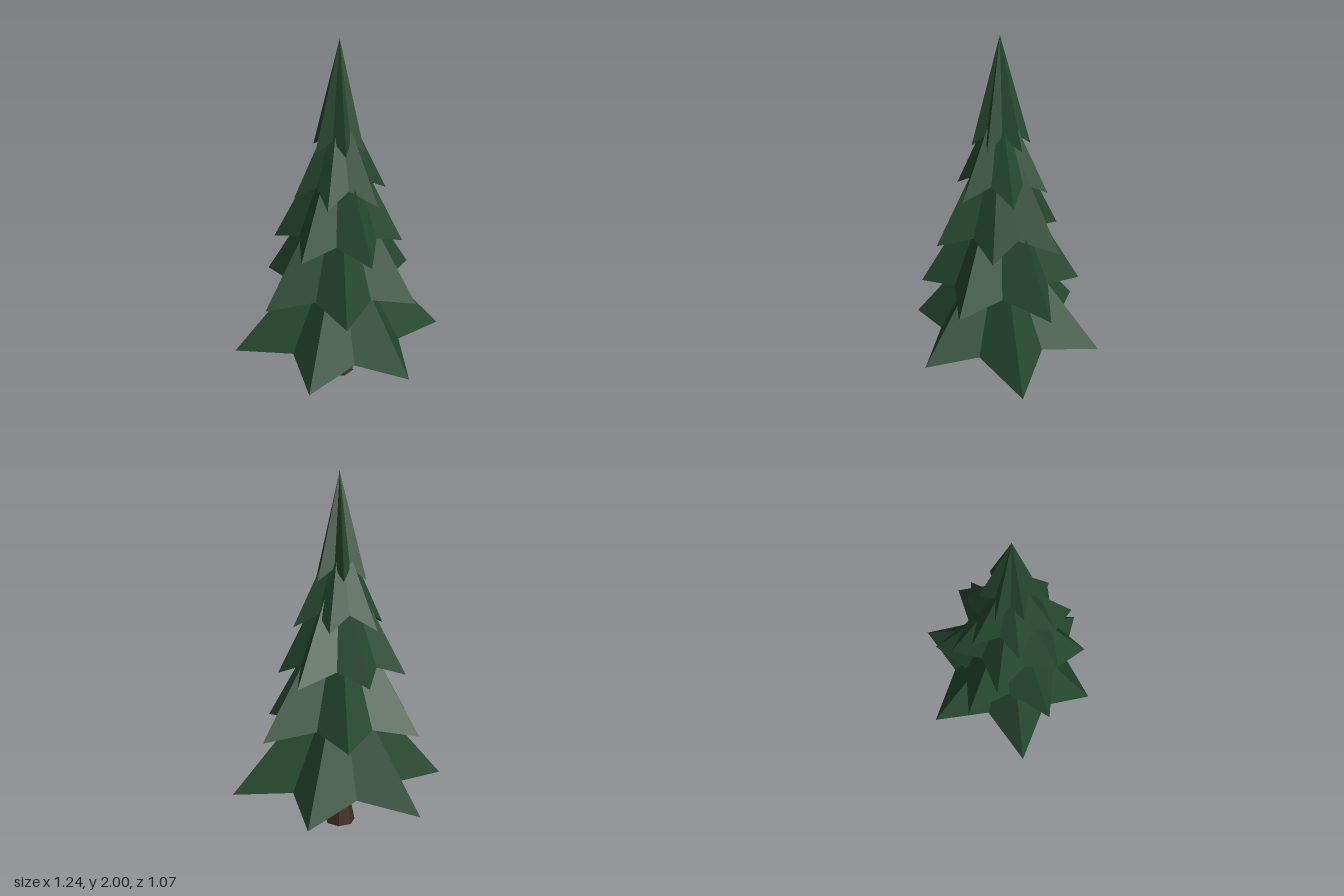
import * as THREE from 'three';

const CENTER_Z = 0.02;

// Each tier: branch tips as [x, z], tip height, valley radius and height, apex height, underside height
const TIERS = [
  { tips: [[0.62, 0.09], [0.22, 0.53], [-0.335, 0.463], [-0.62, -0.055], [-0.237, -0.535], [0.36, -0.46]],
    tipY: 0.235, valleyR: 0.36, valleyY: 0.29, apexY: 0.97, underY: 0.4 },
  { tips: [[0.49, -0.108], [0.327, 0.352], [-0.12, 0.46], [-0.473, 0.138], [-0.333, -0.32], [0.123, -0.418]],
    tipY: 0.595, valleyR: 0.3, valleyY: 0.65, apexY: 1.37, underY: 0.74 },
  { tips: [[0.323, -0.208], [0.32, 0.16], [0.04, 0.395], [-0.287, 0.222], [-0.333, -0.14], [-0.03, -0.33]],
    tipY: 0.9, valleyR: 0.24, valleyY: 0.97, apexY: 1.6, underY: 1.04 },
  { tips: [[0.267, 0.032], [0.123, 0.265], [-0.14, 0.225], [-0.25, 0.0], [-0.12, -0.22], [0.143, -0.2]],
    tipY: 1.18, valleyR: 0.17, valleyY: 1.26, apexY: 1.72, underY: 1.3 },
  { tips: [[0.153, -0.05], [0.1, 0.12], [-0.02, 0.17], [-0.145, 0.05], [-0.11, -0.088], [0.037, -0.135]],
    tipY: 1.435, valleyR: 0.09, valleyY: 1.5, apexY: 2.0, underY: 1.54 },
];

// Star-shaped cone: a rim of alternating tips and valleys joined to an apex and a raised underside
function starCone({ tips, tipY, valleyR, valleyY, apexY, underY }) {
  const rim = [];
  tips.forEach(([x, z], i) => {
    const [nx, nz] = tips[(i + 1) % tips.length];
    const a = Math.atan2(z - CENTER_Z, x);
    let b = Math.atan2(nz - CENTER_Z, nx);
    if (b < a) b += Math.PI * 2;
    const mid = (a + b) / 2;
    rim.push([x, tipY, z]);
    rim.push([Math.cos(mid) * valleyR, valleyY, CENTER_Z + Math.sin(mid) * valleyR]);
  });
  const apex = [0, apexY, CENTER_Z];
  const under = [0, underY, CENTER_Z];
  const positions = [];
  rim.forEach((p, i) => {
    const q = rim[(i + 1) % rim.length];
    positions.push(...apex, ...q, ...p, ...under, ...p, ...q);
  });
  const geometry = new THREE.BufferGeometry();
  geometry.setAttribute('position', new THREE.Float32BufferAttribute(positions, 3));
  geometry.computeVertexNormals();
  return geometry;
}

export function createModel() {
  const needles = new THREE.MeshStandardMaterial({ color: 0x25482f, flatShading: true });
  needles.name = 'needleGreen';
  const bark = new THREE.MeshStandardMaterial({ color: 0x3f2c22, flatShading: true });
  bark.name = 'barkBrown';

  const tree = new THREE.Group();
  tree.name = 'pineTree';

  // Foliage tiers, bottom to top
  TIERS.forEach((tier, i) => {
    const mesh = new THREE.Mesh(starCone(tier), needles);
    mesh.name = `foliageTier${i + 1}`;
    tree.add(mesh);
  });

  // Flared, faceted trunk
  const trunk = new THREE.Group();
  trunk.name = 'trunk';
  const base = new THREE.Mesh(new THREE.CylinderGeometry(0.062, 0.088, 0.13, 7), bark);
  base.name = 'trunkFlare';
  base.position.y = 0.065;
  const stem = new THREE.Mesh(new THREE.CylinderGeometry(0.055, 0.062, 0.29, 7, 1, true), bark);
  stem.name = 'trunkStem';
  stem.position.y = 0.275;
  trunk.add(base, stem);
  trunk.position.z = CENTER_Z;
  tree.add(trunk);

  return tree;
}
